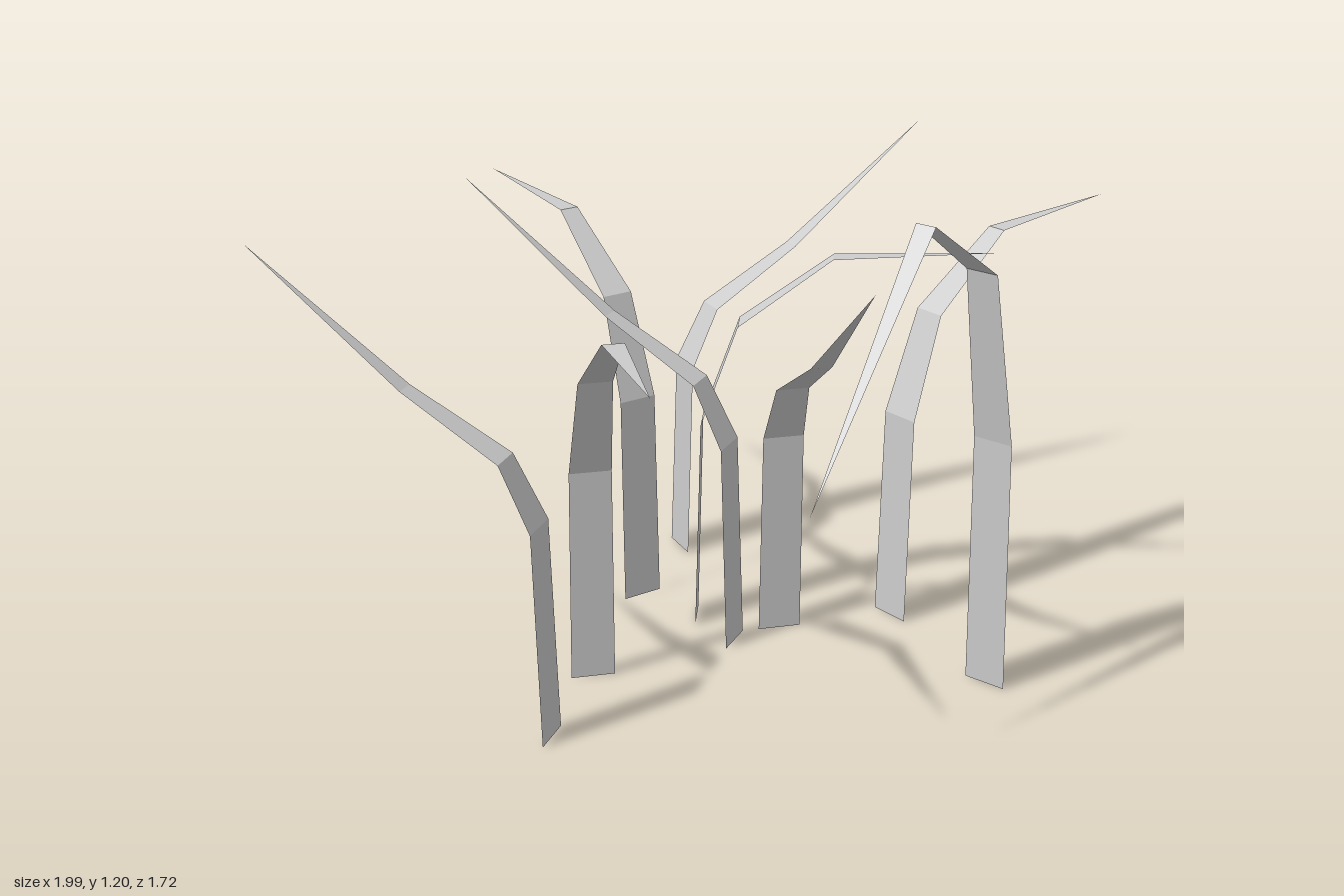
import * as THREE from 'three';

// Blade profiles from root to tip: [reach outward, height, width]
const upright = [[0, 0, 0.105], [0.016, 0.515, 0.1], [0.09, 0.665, 0.08], [0.32, 0.80, 0.05], [0.69, 1.09, 0]];
const level = [[0, 0, 0.105], [0.013, 0.53, 0.1], [0.1, 0.78, 0.08], [0.32, 0.947, 0.05], [0.7, 0.965, 0]];
const drooping = [[0, 0, 0.105], [0.016, 0.62, 0.1], [0.095, 1.04, 0.08], [0.32, 1.197, 0.05], [0.705, 0.665, 0]];

// Each blade: profile, root x, root z, tip x, tip z
const blades = [
  [level, -0.16, -0.255, -0.573, -0.82],
  [upright, -0.075, -0.555, 0.547, -0.868],
  [level, 0.465, -0.155, 1.0, -0.617],
  [upright, 0.078, -0.007, -0.573, -0.274],
  [level, -0.018, -0.138, 0.687, -0.105],
  [upright, 0.188, -0.078, 0.365, 0.588],
  [drooping, 0.67, 0.198, 0.235, 0.752],
  [level, -0.255, 0.188, -0.08, 0.857],
  [upright, -0.328, 0.478, -0.995, 0.262],
];

// Flat ribbon leaning along +z, closing to a single point at the tip
function bladeGeometry(profile, reach) {
  const scale = reach / profile[profile.length - 1][0];
  const points = [], index = [];
  profile.forEach(([d, h, w], i) => {
    if (w > 0) points.push(-w / 2, h, d * scale, w / 2, h, d * scale);
    else points.push(0, h, d * scale);
    const a = i * 2;
    if (i < profile.length - 2) index.push(a, a + 1, a + 3, a, a + 3, a + 2);
    else if (i === profile.length - 2) index.push(a, a + 1, a + 2);
  });
  const g = new THREE.BufferGeometry();
  g.setAttribute('position', new THREE.Float32BufferAttribute(points, 3));
  g.setIndex(index);
  const flat = g.toNonIndexed();
  flat.computeVertexNormals();
  return flat;
}

export function createModel() {
  const group = new THREE.Group();
  group.name = 'grassTuft';
  const grey = new THREE.MeshStandardMaterial({ color: 0xcccccc, side: THREE.DoubleSide, flatShading: true });
  grey.name = 'lightGrey';

  blades.forEach(([profile, x, z, tipX, tipZ], i) => {
    const dx = tipX - x, dz = tipZ - z;
    const blade = new THREE.Mesh(bladeGeometry(profile, Math.hypot(dx, dz)), grey);
    blade.name = `grassBlade${i + 1}`;
    blade.position.set(x, 0, z);
    blade.rotation.y = Math.atan2(dx, dz);
    group.add(blade);
  });
  return group;
}
